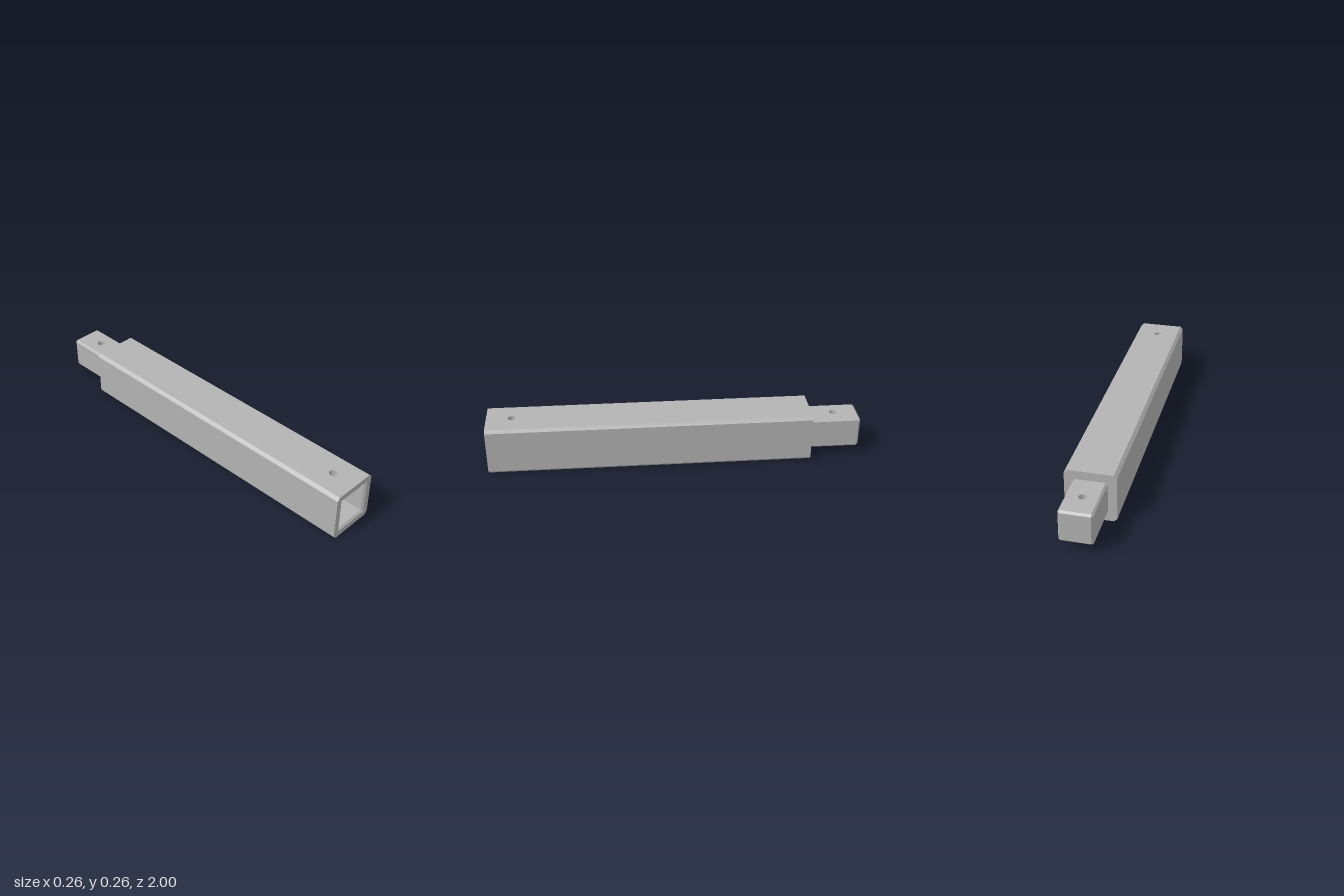
import * as THREE from 'three';
import { mergeGeometries } from 'three/addons/utils/BufferGeometryUtils.js';

const CY = 0.131;            // axis height
const FRONT = 1, SHOULDER = -0.73, BACK = -1;
const HOLE_R = 0.02, HOLE_OFFSET = 0.135;

// Square section with chamfered corners, counter-clockwise; edge 0 is the bottom, edge 4 the top
function section(h, c) {
  const k = h - c;
  return [[-k, -h], [k, -h], [h, -k], [h, k], [k, h], [-k, h], [-h, k], [-h, -k]];
}

// Side faces between two sections; faces outward when z0 > z1, inward when z0 < z1
function loft(a, z0, b, z1, skip = []) {
  const pos = [];
  a.forEach((p, i) => {
    if (skip.includes(i)) return;
    const j = (i + 1) % a.length, q = a[j];
    const A = [...p, z0], B = [...b[i], z1], C = [...q, z0], D = [...b[j], z1];
    pos.push(...A, ...B, ...C, ...C, ...B, ...D);
  });
  const g = new THREE.BufferGeometry();
  g.setAttribute('position', new THREE.Float32BufferAttribute(pos, 3));
  g.computeVertexNormals();
  return g;
}

// End face with an optional opening
function cap(outer, z, inner, back = false) {
  const shape = new THREE.Shape(outer.map(p => new THREE.Vector2(...p)));
  if (inner) shape.holes.push(new THREE.Path(inner.map(p => new THREE.Vector2(...p))));
  const g = new THREE.ShapeGeometry(shape);
  if (back) g.rotateY(Math.PI);
  return g.translate(0, 0, z);
}

// Horizontal face with a round pin hole, facing up (1) or down (-1)
function drilledFace(halfWidth, y, z0, z1, holeZ, dir) {
  const s = -dir;
  const shape = new THREE.Shape([[-halfWidth, z0], [halfWidth, z0], [halfWidth, z1], [-halfWidth, z1]]
    .map(([x, z]) => new THREE.Vector2(x, s * z)));
  shape.holes.push(new THREE.Path().absarc(0, s * holeZ, HOLE_R, 0, Math.PI * 2, true));
  return new THREE.ShapeGeometry(shape, 16).rotateX(s * Math.PI / 2).translate(0, y, 0);
}

// Wall of a pin hole
function bore(y0, y1, z) {
  return new THREE.CylinderGeometry(HOLE_R, HOLE_R, y1 - y0, 32, 1, true).translate(0, (y0 + y1) / 2, z);
}

function part(name, geometries, material) {
  const clean = geometries.map(g => {
    const n = g.index ? g.toNonIndexed() : g;
    n.deleteAttribute('uv');
    return n;
  });
  const mesh = new THREE.Mesh(mergeGeometries(clean), material);
  mesh.name = name;
  mesh.position.y = CY;
  return mesh;
}

export function createModel() {
  const grey = new THREE.MeshStandardMaterial({ color: 0xb3b3b3, side: THREE.DoubleSide });
  grey.name = 'grey';
  const group = new THREE.Group();
  group.name = 'squareBar';

  const H = 0.131, C = 0.016;                 // bar half width and chamfer
  const M = 0.1, S = 0.09, socketEnd = 0.72;  // socket mouth, socket half width, socket floor
  const T = 0.085, TC = 0.01;                 // tenon half width and chamfer
  const frontHole = FRONT - HOLE_OFFSET, backHole = SHOULDER - HOLE_OFFSET;
  const lip = FRONT - (M - S);
  const outer = section(H, C), mouth = section(M, 0), inner = section(S, 0);
  const square = h => [[-h, -h], [h, -h], [h, h], [-h, h]];

  // Bar: chamfered prism, drilled above and below the socket
  group.add(part('bar', [
    loft(outer, FRONT, outer, SHOULDER, [0, 4]),
    cap(outer, FRONT, square(M)),
    cap(outer, SHOULDER, null, true),
    ...[1, -1].map(d => drilledFace(H - C, d * H, FRONT, SHOULDER, frontHole, d)),
  ], grey));

  // Socket: bevelled mouth, walls and floor
  group.add(part('socket', [
    loft(inner, lip, mouth, FRONT),
    loft(inner, socketEnd, inner, lip, [0, 4]),
    cap(square(S), socketEnd),
    ...[1, -1].map(d => drilledFace(S, -d * S, lip, socketEnd, frontHole, d)),
  ], grey));

  // Tenon: chamfered plug at the back
  const plug = section(T, TC), tip = BACK + TC;
  group.add(part('tenon', [
    loft(plug, SHOULDER, plug, tip, [0, 4]),
    loft(plug, tip, section(T - TC, 0), BACK),
    cap(square(T - TC), BACK, null, true),
    ...[1, -1].map(d => drilledFace(T - TC, d * T, SHOULDER, tip, backHole, d)),
  ], grey));

  // Pin holes
  group.add(part('pinHoles', [
    bore(S, H, frontHole), bore(-H, -S, frontHole), bore(-T, T, backHole),
  ], grey));

  return group;
}
